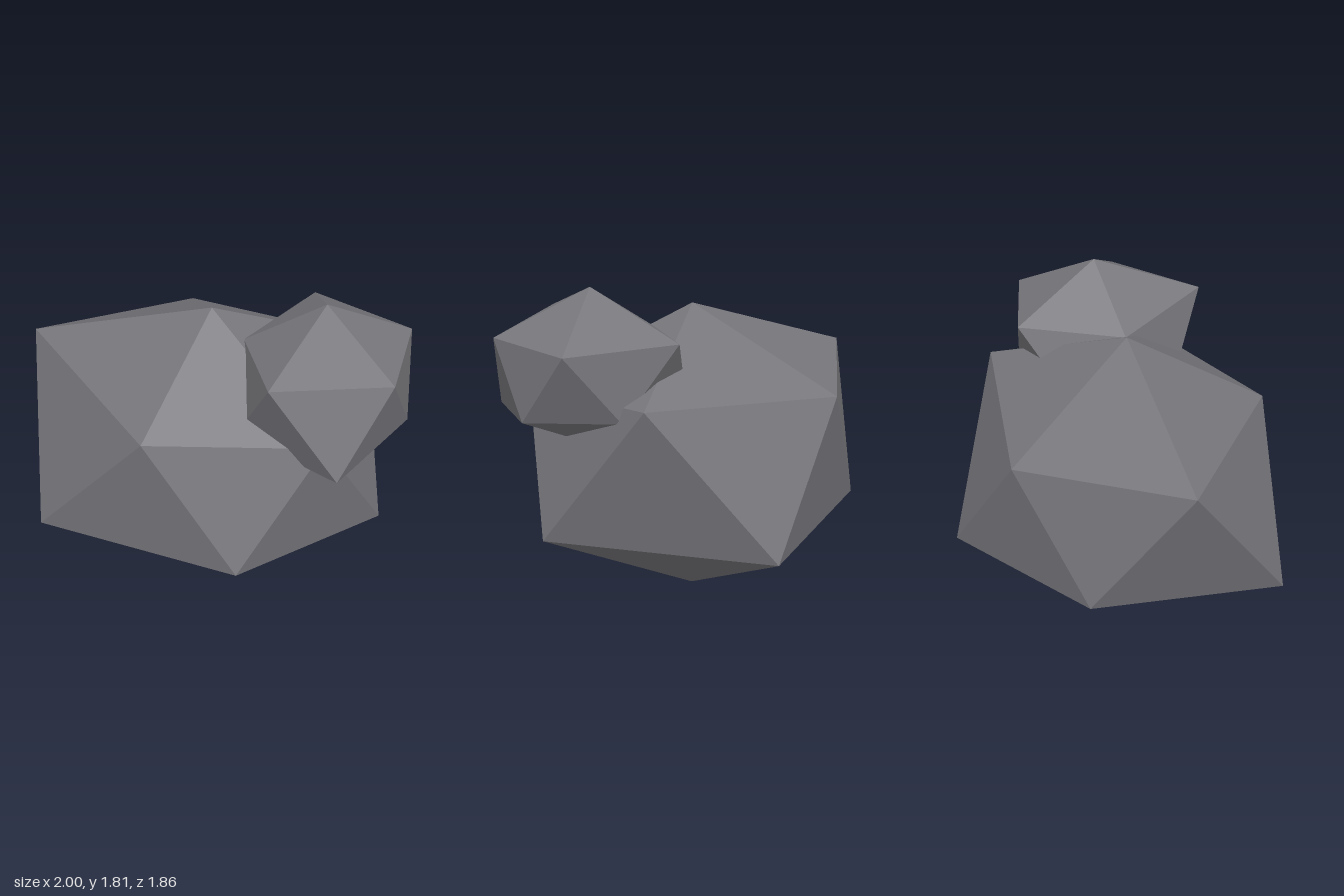
import * as THREE from 'three';

// Faceted boulder: a tip, two staggered rings of five corners, and a base point
function boulder(name, material, tip, upper, lower, base) {
  const positions = [];
  const face = (...corners) => corners.forEach((c) => positions.push(...c));
  const n = upper.length;
  for (let i = 0; i < n; i++) {
    const j = (i + 1) % n;
    face(tip, upper[j], upper[i]);
    face(upper[i], upper[j], lower[i]);
    face(lower[i], upper[j], lower[j]);
    face(base, lower[i], lower[j]);
  }
  const geometry = new THREE.BufferGeometry();
  geometry.setAttribute('position', new THREE.Float32BufferAttribute(positions, 3));
  geometry.computeVertexNormals(); // unshared corners give flat facets
  const mesh = new THREE.Mesh(geometry, material);
  mesh.name = name;
  return mesh;
}

export function createModel() {
  const group = new THREE.Group();
  group.name = 'rocks';
  const stone = new THREE.MeshStandardMaterial({ color: 0x77767b });
  stone.name = 'grey stone';

  // Large boulder standing on the ground
  group.add(boulder('largeBoulder', stone,
    [-0.08, 1.65, -0.02],
    [[0.82, 1.2, -0.04], [0.2, 1.21, 0.69], [-1, 1.3, 0.53], [-0.81, 1.22, -0.47], [0.25, 1.28, -0.89]],
    [[0.69, 0.52, 0.45], [-0.46, 0.42, 0.93], [-1, 0.53, -0.02], [-0.44, 0.45, -0.93], [0.77, 0.48, -0.54]],
    [-0.08, 0, -0.02]));

  // Small boulder resting in its upper shoulder
  group.add(boulder('smallBoulder', stone,
    [0.49, 1.81, -0.33],
    [[1, 1.55, -0.34], [0.68, 1.6, 0.24], [0.13, 1.53, -0.07], [0.05, 1.57, -0.66], [0.65, 1.55, -0.82]],
    [[0.98, 1.1, 0.02], [0.33, 1.12, 0.15], [-0.02, 1.15, -0.33], [0.35, 1.18, -0.75], [0.86, 1.16, -0.61]],
    [0.49, 0.95, -0.33]));

  return group;
}
